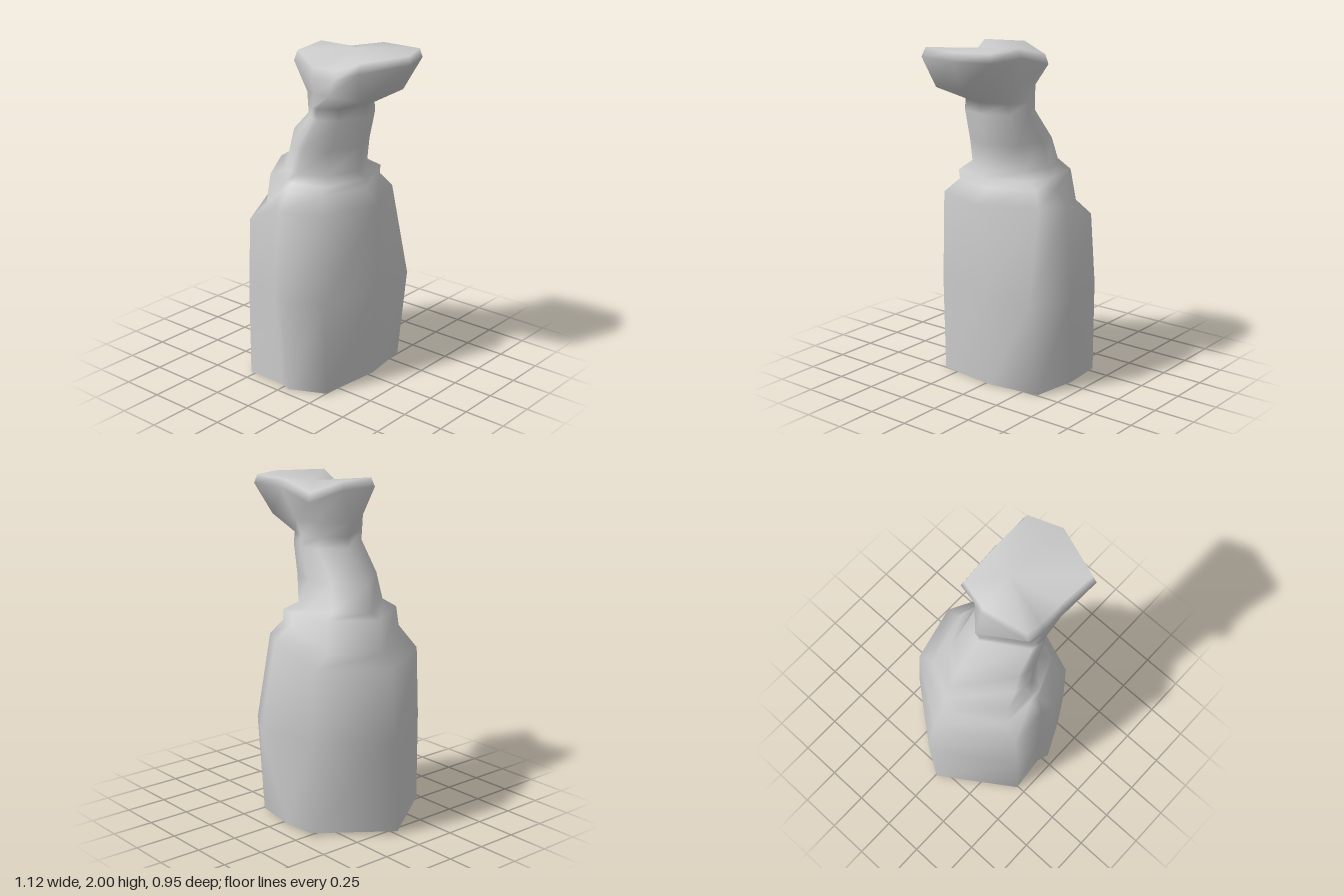
import * as THREE from 'three';

// Nine-cornered outlines (x, z), running from the right point round the front.
// The first three are actual sizes, the last two are stretched to fit.
const BASE = [[-.56, .01], [-.26, .45], [-.03, .425], [.04, .45], [.25, .35], [.29, -.04], [.24, -.35], [-.04, -.39], [-.26, -.39]];
const BELLY = [[-.56, -.02], [-.265, .445], [-.07, .435], [.01, .475], [.25, .36], [.325, -.02], [.31, -.34], [.1, -.475], [-.265, -.39]];
const TOP = [[-.51, 0], [-.27, .42], [-.06, .43], [0, .465], [.23, .36], [.355, .02], [.2, -.32], [.04, -.405], [-.26, -.36]];
const SHOULDER = [[0, .45], [.28, .92], [.51, .975], [.59, 1], [.87, .88], [1, .47], [.84, .07], [.65, 0], [.26, .08]];
const NECK = [[0, .39], [.4, .95], [.5, .98], [.6, 1], [.85, .84], [1, .46], [.85, .11], [.55, 0], [.27, .09]];

// Outline at a height; the three right-hand corners may sit at their own height
const level = (outline, y, yRight = y) =>
  outline.map(([x, z], i) => [x, i < 2 || i === 8 ? yRight : y, z]);
const stretch = (shape, x0, x1, z0, z1) =>
  shape.map(([u, v]) => [x0 + (x1 - x0) * u, z0 + (z1 - z0) * v]);

export function createModel() {
  // Bottle, open underneath, stepping in at the shoulder and collar
  const body = [
    level(BASE, 0, .015),
    level(BELLY, .57),
    level(TOP, 1.11, .99),
    level(stretch(SHOULDER, -.43, .26, -.31, .37), 1.19, 1.06),
    level(stretch(SHOULDER, -.4, .28, -.285, .355), 1.25),
  ];

  // Neck leaning towards the nozzle side
  const neck = [
    level(stretch(NECK, -.35, .22, -.215, .3), 1.285),
    level(stretch(NECK, -.3, .25, -.19, .285), 1.44),
    level(stretch(NECK, -.12, .28, -.17, .27), 1.62),
    level(stretch(NECK, -.125, .275, -.165, .27), 1.685),
  ];

  // Overhanging head: flared underside, dipped front rim, shallow crown
  const under = level([[-.145, 0], [.03, .25], [.1, .27], [.2, .27], [.41, .25], [.43, .05], [.41, -.13], [.15, -.16], [0, -.14]], 1.77);
  const rim = [
    [-.09, 1.95, 0], [-.04, 1.94, .28], [.08, 1.86, .28], [.24, 1.86, .28], [.45, 1.94, .32],
    [.555, 1.95, 0], [.48, 1.95, -.21], [.22, 1.95, -.21], [-.03, 1.89, -.21],
  ];
  const crown = rim.map(([x, y, z]) => [.22 + (x - .22) * .97, Math.min(2, y + .055), z * .92]);

  // One smooth skin over all rings, so that normals run on from part to part
  const rings = [...body, ...neck, under, rim, crown];
  const n = NECK.length;
  const positions = [...rings.flat(2), .15, 1.985, -.03];
  const center = rings.length * n;
  const index = [];
  for (let r = 0; r < rings.length; r++) {
    for (let i = 0; i < n; i++) {
      const a = r * n + i, b = r * n + (i + 1) % n;
      if (r < rings.length - 1) index.push(a, b, b + n, a, b + n, a + n);
      else index.push(a, b, center);
    }
  }
  const skin = new THREE.BufferGeometry();
  skin.setAttribute('position', new THREE.Float32BufferAttribute(positions, 3));
  skin.setIndex(index);
  skin.computeVertexNormals();

  // Cut the skin into its named parts
  const group = new THREE.Group();
  const material = new THREE.MeshStandardMaterial({ color: 0xcccccc, side: THREE.DoubleSide });
  const band = n * 6;
  const neckStart = body.length * band;
  const headStart = (body.length + neck.length - 1) * band;
  const parts = { bottleBody: [0, neckStart], neck: [neckStart, headStart], head: [headStart, index.length] };
  for (const [name, [from, to]] of Object.entries(parts)) {
    const mesh = new THREE.Mesh(skin.clone().setIndex(index.slice(from, to)), material);
    mesh.name = name;
    group.add(mesh);
  }
  return group;
}
